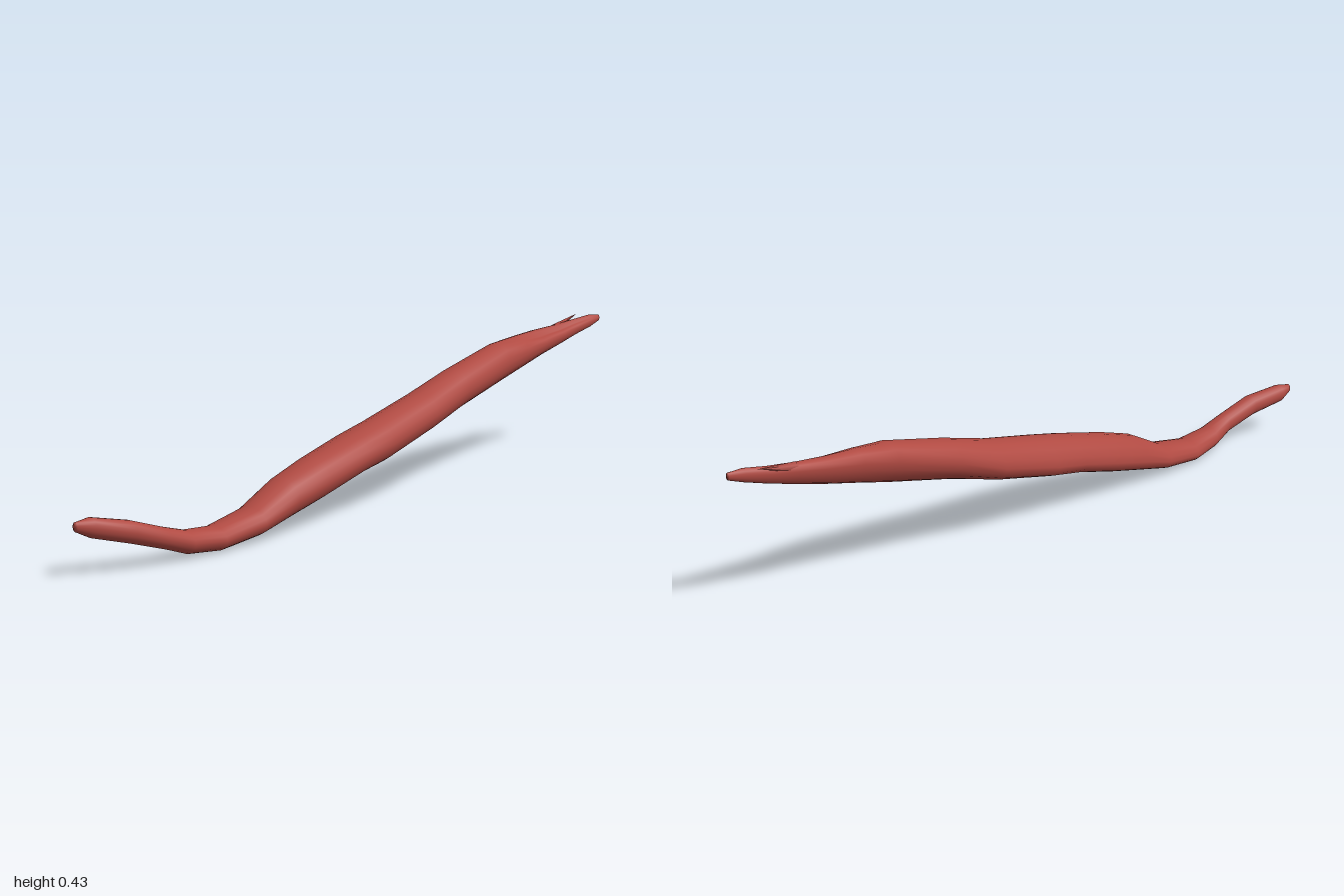
import * as THREE from 'three';

// Cross-sections along the length: z, xMin, xMax, yMin, yMax, lean of the -x edge, scoop depth
const SECTIONS = [
  [1.0, -0.162, -0.145, 0.125, 0.15, 0, 0],
  [0.96, -0.166, -0.118, 0.103, 0.156, 0, 0],
  [0.87, -0.128, -0.07, 0.076, 0.136, 0, 0],
  [0.77, -0.102, -0.045, 0.042, 0.1, 0, 0],
  [0.7, -0.104, -0.03, 0.015, 0.078, -0.1, 0],
  [0.6, -0.106, -0.01, 0.002, 0.068, -0.2, 0],
  [0.47, -0.1, 0.015, 0.015, 0.092, -0.2, 0],
  [0.36, -0.094, 0.037, 0.042, 0.15, -0.3, 0],
  [0.25, -0.088, 0.058, 0.07, 0.185, -0.3, 0],
  [0.1, -0.075, 0.08, 0.112, 0.224, -0.3, 0],
  [0.0, -0.06, 0.09, 0.13, 0.248, -0.3, 0],
  [-0.2, -0.04, 0.1, 0.18, 0.295, -0.2, 0],
  [-0.35, -0.014, 0.108, 0.226, 0.34, 0, 0],
  [-0.55, 0.02, 0.12, 0.277, 0.39, 0.15, 0],
  [-0.65, 0.042, 0.127, 0.304, 0.4, 0.25, 0.2],
  [-0.74, 0.058, 0.133, 0.328, 0.406, 0.3, 0.45],
  [-0.83, 0.088, 0.142, 0.352, 0.412, 0.3, 0.45],
  [-0.9, 0.11, 0.15, 0.372, 0.42, 0.2, 0.35],
  [-0.96, 0.135, 0.163, 0.39, 0.428, 0, 0.2],
  [-1.0, 0.152, 0.165, 0.405, 0.425, 0, 0],
];
const SIDES = 18;

// Loft a closed skin through the cross-sections
function loft() {
  const pos = [], index = [];
  SECTIONS.forEach(([z, x0, x1, y0, y1, lean, scoop]) => {
    const cx = (x0 + x1) / 2, cy = (y0 + y1) / 2, w = (x1 - x0) / 2, h = (y1 - y0) / 2;
    for (let j = 0; j < SIDES; j++) {
      const a = (j / SIDES) * Math.PI * 2;
      // hollow on the upper +x side near the tail
      const d = (a - 0.95) / 0.4;
      const r = 1 - scoop * Math.exp(-d * d);
      const c = Math.cos(a) * r, s = Math.sin(a) * r;
      pos.push(cx + w * c, cy + h * (s + lean * Math.max(0, -c) * (1 - s * s)), z);
    }
  });
  const last = SECTIONS.length - 1;
  for (let i = 0; i < last; i++) {
    for (let j = 0; j < SIDES; j++) {
      const k = (j + 1) % SIDES;
      const a = i * SIDES + j, b = i * SIDES + k;
      index.push(a, a + SIDES, b, b, a + SIDES, b + SIDES);
    }
  }
  // end caps
  [0, last].forEach((i) => {
    const [z, x0, x1, y0, y1] = SECTIONS[i];
    const centre = pos.length / 3;
    pos.push((x0 + x1) / 2, (y0 + y1) / 2, z);
    for (let j = 0; j < SIDES; j++) {
      const a = i * SIDES + j, b = i * SIDES + ((j + 1) % SIDES);
      if (i === 0) index.push(centre, a, b);
      else index.push(centre, b, a);
    }
  });
  const g = new THREE.BufferGeometry();
  g.setAttribute('position', new THREE.Float32BufferAttribute(pos, 3));
  g.setIndex(index);
  g.computeVertexNormals();
  return g;
}

export function createModel() {
  const group = new THREE.Group();
  group.name = 'muscleStrand';
  const red = new THREE.MeshStandardMaterial({ color: 0xb04a42 });
  red.name = 'muscle red';

  const body = new THREE.Mesh(loft(), red);
  body.name = 'muscleBody';
  group.add(body);

  // small frayed spur beside the tail
  const from = new THREE.Vector3(0.105, 0.4, -0.83), to = new THREE.Vector3(0.112, 0.429, -0.945);
  const dir = to.clone().sub(from);
  const spur = new THREE.Mesh(new THREE.ConeGeometry(0.014, dir.length(), 6), red);
  spur.name = 'tailSpur';
  spur.position.copy(from).add(to).multiplyScalar(0.5);
  spur.quaternion.setFromUnitVectors(new THREE.Vector3(0, 1, 0), dir.normalize());
  group.add(spur);

  return group;
}
